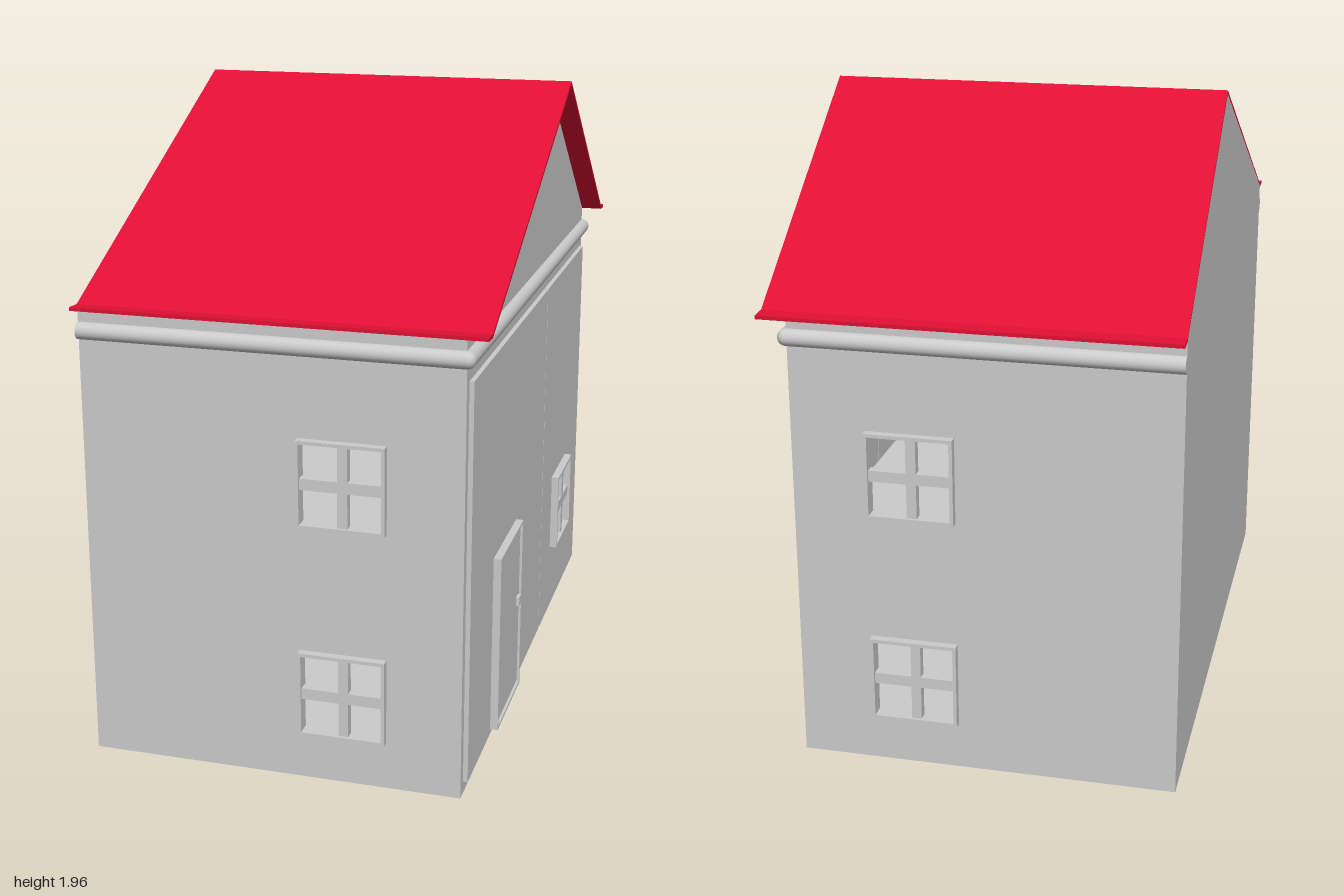
import * as THREE from 'three';

const mat = (color) => new THREE.MeshStandardMaterial({ color });
const grey = mat(0xcccccc);
const red = mat(0xe01034);
const blue = mat(0x5a58e6);
const salmon = mat(0xe8a890);

const X0 = -0.61, X1 = 0.54, Z = 0.947, BASE = 0.022, EAVE = 1.43;
const RIDGE_Z = -0.2, RIDGE_Y = 1.967, T = 0.02;

function add(parent, name, geometry, material = grey) {
  const mesh = new THREE.Mesh(geometry, material);
  mesh.name = name;
  parent.add(mesh);
  return mesh;
}

// Box given by its lower and upper limits on each axis
function box(parent, name, [ax, bx], [ay, by], [az, bz], material) {
  const m = add(parent, name, new THREE.BoxGeometry(bx - ax, by - ay, bz - az), material);
  m.position.set((ax + bx) / 2, (ay + by) / 2, (az + bz) / 2);
  return m;
}

// Outline from points, with rectangular holes [u0, u1, v0, v1]
function outline(points, holes = []) {
  const shape = new THREE.Shape(points.map(([u, v]) => new THREE.Vector2(u, v)));
  for (const [a, b, c, d] of holes) {
    shape.holes.push(new THREE.Path([[a, c], [a, d], [b, d], [b, c]].map(([u, v]) => new THREE.Vector2(u, v))));
  }
  return shape;
}
const rect = (a, b, c, d) => [[a, c], [b, c], [b, d], [a, d]];
const extrude = (shape, depth) => new THREE.ExtrudeGeometry(shape, { depth, bevelEnabled: false });
// Extrude a (z, y) outline across x, ending at the given outer face
const extrudeX = (shape, depth, outer) => extrude(shape, depth).rotateY(-Math.PI / 2).translate(outer, 0, 0);

// Window centred on its origin, facing +z
function makeWindow(name) {
  const g = new THREE.Group();
  g.name = name;
  const o = 0.1325, i = 0.122;
  add(g, 'windowFrame', extrude(outline(rect(-o, o, -o, o), [[-i, i, -i, i]]), 0.045).translate(0, 0, -T));
  box(g, 'verticalBar', [-0.009, 0.021], [-i, i], [-0.012, 0.016]);
  box(g, 'horizontalBar', [-i, i], [-0.017, 0.017], [-0.012, 0.016]);
  return g;
}

export function createModel() {
  const house = new THREE.Group();
  house.name = 'house';

  // Front and back walls with window openings
  const wx = 0.182, levels = [0.302, 0.957], h = 0.124;
  const holes = levels.map((y) => [wx - h, wx + h, y - h, y + h]);
  const wallShape = outline(rect(X0, X1, BASE, EAVE), holes);
  add(house, 'frontWall', extrude(wallShape, T).translate(0, 0, Z - T));
  add(house, 'backWall', extrude(wallShape, T).translate(0, 0, -Z));
  for (const s of [1, -1]) {
    for (const y of levels) {
      const w = makeWindow(s > 0 ? 'frontWindow' : 'backWindow');
      // the mirrored bars stay aligned because the frame is symmetric
      w.position.set(wx, y, s * Z);
      if (s < 0) w.rotation.y = Math.PI;
      house.add(w);
    }
  }

  // Gabled side walls; the left one holds the hinged panels
  const gable = [[Z, BASE], [Z, EAVE], [RIDGE_Z, RIDGE_Y], [-Z, EAVE], [-Z, BASE]];
  add(house, 'rightGableWall', extrudeX(outline(gable), T, X0 + T));
  add(house, 'leftGableWall', extrudeX(outline(gable, [[-0.907, 0.915, 0.06, 1.288]]), T, X1));

  // Two hinged panels
  const face = 0.554;
  const wz = -0.517, wy = 0.428;
  add(house, 'doorPanel', extrudeX(outline(rect(RIDGE_Z + 0.002, 0.915, 0.06, 1.288)), 0.03, face));
  add(house, 'windowPanel', extrudeX(
    outline(rect(-0.907, RIDGE_Z - 0.002, 0.06, 1.288), [[wz - h, wz + h, wy - h, wy + h]]), 0.03, face));
  const sideWindow = makeWindow('sideWindow');
  sideWindow.position.set(face, wy, wz);
  sideWindow.rotation.y = Math.PI / 2;
  house.add(sideWindow);

  // Door with frame and knob
  const door = new THREE.Group();
  door.name = 'door';
  add(door, 'doorFrame', extrudeX(
    outline(rect(0.263, 0.605, 0.075, 0.643), [[0.272, 0.596, 0.084, 0.634]]), 0.03, 0.578));
  box(door, 'doorLeaf', [0.54, 0.571], [0.088, 0.63], [0.276, 0.592]);
  box(door, 'doorKnob', [0.571, 0.582], [0.37, 0.4], [0.292, 0.322]);
  house.add(door);

  // Rounded cornice around the front, left side and back
  const cy = 1.357, r = 0.026;
  const cornice = new THREE.Group();
  cornice.name = 'cornice';
  for (const s of [1, -1]) {
    const rail = add(cornice, 'corniceRail', new THREE.CylinderGeometry(r, r, X1 - X0, 20));
    rail.rotation.z = Math.PI / 2;
    rail.position.set((X0 + X1) / 2, cy, s * Z);
    add(cornice, 'corniceCorner', new THREE.SphereGeometry(r, 20, 12)).position.set(X1, cy, s * Z);
  }
  const side = add(cornice, 'corniceSide', new THREE.CylinderGeometry(r, r, 2 * Z, 20));
  side.rotation.x = Math.PI / 2;
  side.position.set(X1, cy, 0);
  house.add(cornice);

  // Thin folded roof sheet with flared eaves
  const top = [[1, 1.438], [0.95, 1.435], [RIDGE_Z, 1.978], [-0.95, 1.435], [-1, 1.432]];
  const under = top.map(([z, y]) => [z, y - 0.011]).reverse();
  add(house, 'roof', extrudeX(outline([...top, ...under]), 1.22, 0.61), red);

  // Floors
  for (const [name, y] of [['groundFloor', BASE], ['upperFloor', 0.66], ['atticFloor', 1.37]]) {
    box(house, name, [X0 + 0.005, X1 - 0.016], [y, y + 0.025], [-Z + 0.005, Z - 0.005]);
  }

  // Inner partition and wallpaper in each storey
  const px = 0.245, inner = X0 + T;
  box(house, 'partition', [inner, px], [0.047, 1.37], [RIDGE_Z - 0.01, RIDGE_Z + 0.01]);
  for (const [y0, y1, paper] of [[0.047, 0.66, salmon], [0.685, 1.37, blue]]) {
    box(house, 'partitionWallpaper', [inner, px - 0.001], [y0, y1], [RIDGE_Z - 0.013, RIDGE_Z + 0.013], paper);
    box(house, 'wallWallpaper', [inner, inner + 0.004], [y0, y1], [-Z + T, Z - T], paper);
  }

  return house;
}
